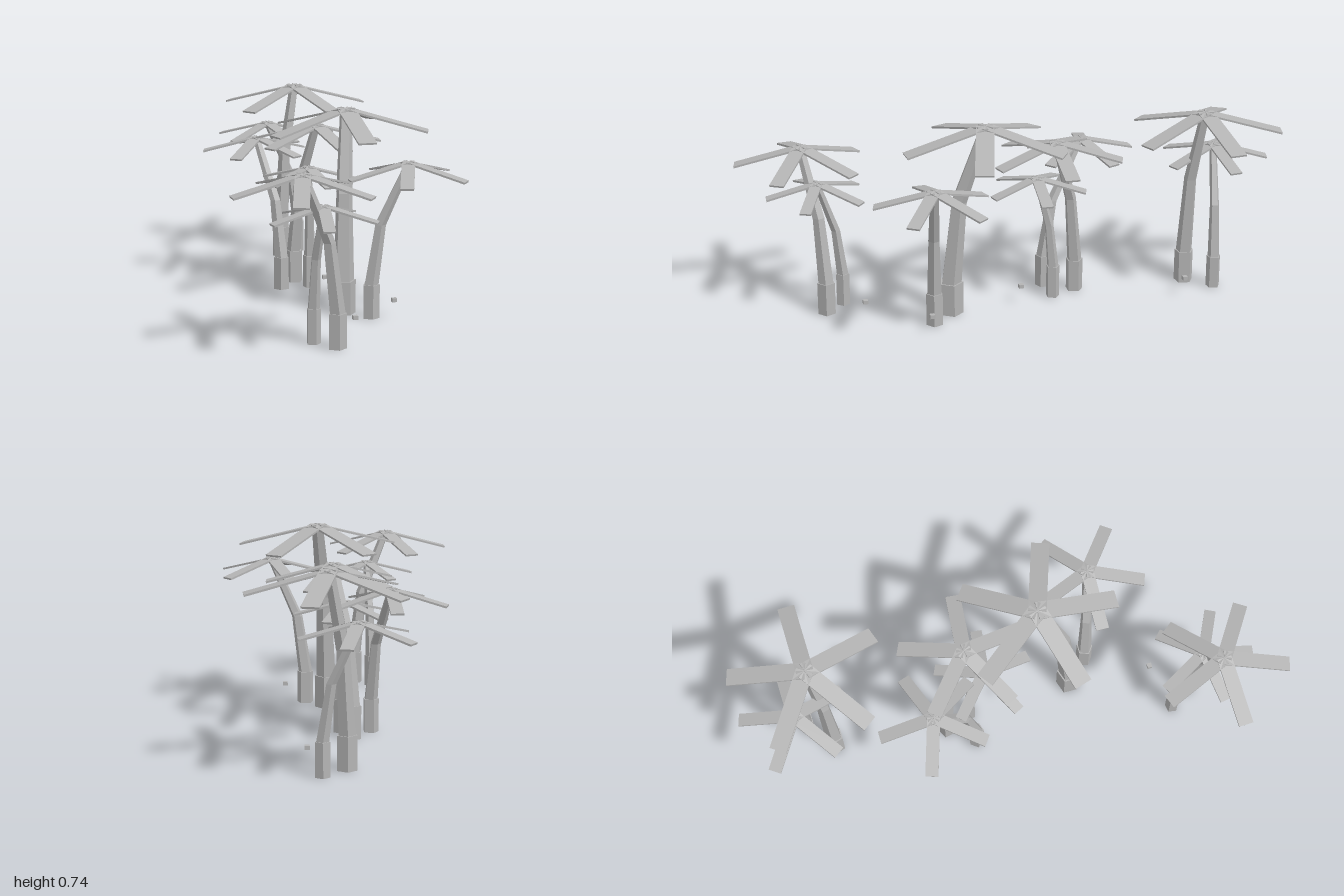
import * as THREE from 'three';

// base x, base z, crown x, crown z, height, trunk radius, frond reach, frond width, first frond angle (degrees, +x toward +z)
const TREES = [
  [-0.08, 0.711, -0.21, 0.76, 0.62, 0.034, 0.245, 0.054, 33],
  [-0.143, 0.634, -0.13, 0.72, 0.502, 0.026, 0.188, 0.042, 26],
  [0.139, 0.356, 0.267, 0.385, 0.573, 0.032, 0.217, 0.048, 36],
  [0.06, 0.27, 0.1, 0.145, 0.735, 0.046, 0.3, 0.067, 18],
  [-0.003, -0.238, 0.06, -0.14, 0.632, 0.033, 0.245, 0.055, 5],
  [0.035, -0.138, 0.015, -0.08, 0.482, 0.026, 0.185, 0.043, 6],
  [-0.077, -0.138, -0.135, -0.305, 0.565, 0.03, 0.205, 0.047, -19],
  [0.048, -0.67, 0.11, -0.71, 0.702, 0.037, 0.288, 0.063, -2],
  [0.137, -0.755, 0.015, -0.79, 0.54, 0.027, 0.205, 0.047, -2],
];
const BLOCKS = [[0.018, 0.587], [0.217, 0.387], [0.06, -0.004], [0.182, -0.618]];
const SIDES = 5;
const DROOP = 0.26;

// Five-sided section joining two points
function section(a, b, ra, rb, turn) {
  const g = new THREE.CylinderGeometry(rb, ra, 1, SIDES, 1);
  g.rotateY(turn);
  const p = g.attributes.position;
  for (let i = 0; i < p.count; i++) {
    const c = p.getY(i) > 0 ? b : a;
    p.setXYZ(i, p.getX(i) + c.x, c.y, p.getZ(i) + c.z);
  }
  const flat = g.toNonIndexed();
  flat.computeVertexNormals();
  return flat;
}

export function createModel() {
  const model = new THREE.Group();
  const grey = new THREE.MeshStandardMaterial({ color: 0xb4b4b4, flatShading: true });
  grey.name = 'plainGrey';

  const add = (parent, geometry, name) => {
    const mesh = new THREE.Mesh(geometry, grey);
    mesh.name = name;
    parent.add(mesh);
    return mesh;
  };

  for (const [bx, bz, cx, cz, h, r, reach, width, deg] of TREES) {
    const tree = new THREE.Group();
    tree.name = 'palmTree';
    const turn = THREE.MathUtils.degToRad(deg);
    const trunkTurn = Math.PI / SIDES - turn;

    // Upright foot, then two leaning trunk sections
    const foot = new THREE.Vector3(bx, 0, bz);
    const knee = new THREE.Vector3(bx, 0.124, bz);
    const crown = new THREE.Vector3(cx, h - 0.008, cz);
    const bend = knee.clone().lerp(crown, 0.24).setY(h * 0.6);
    add(tree, section(foot, knee, r, r, trunkTurn), 'trunkFoot');
    add(tree, section(knee, bend, r * 0.86, r * 0.66, trunkTurn), 'lowerTrunk');
    add(tree, section(bend, crown, r * 0.68, r * 0.5, trunkTurn), 'upperTrunk');

    // Five flat drooping fronds
    const length = reach / Math.cos(DROOP);
    const thick = 0.007;
    for (let i = 0; i < 5; i++) {
      const g = new THREE.BoxGeometry(length, thick, width);
      g.translate(length / 2, -thick / 2, 0);
      g.rotateZ(-DROOP);
      g.rotateY(-turn - (i * Math.PI * 2) / 5);
      add(tree, g, 'frond').position.set(cx, h, cz);
    }
    model.add(tree);
  }

  // Small floating blocks beside the trees
  for (const [x, z] of BLOCKS) {
    add(model, new THREE.BoxGeometry(0.018, 0.014, 0.018), 'smallBlock').position.set(x, 0.069, z);
  }
  return model;
}
